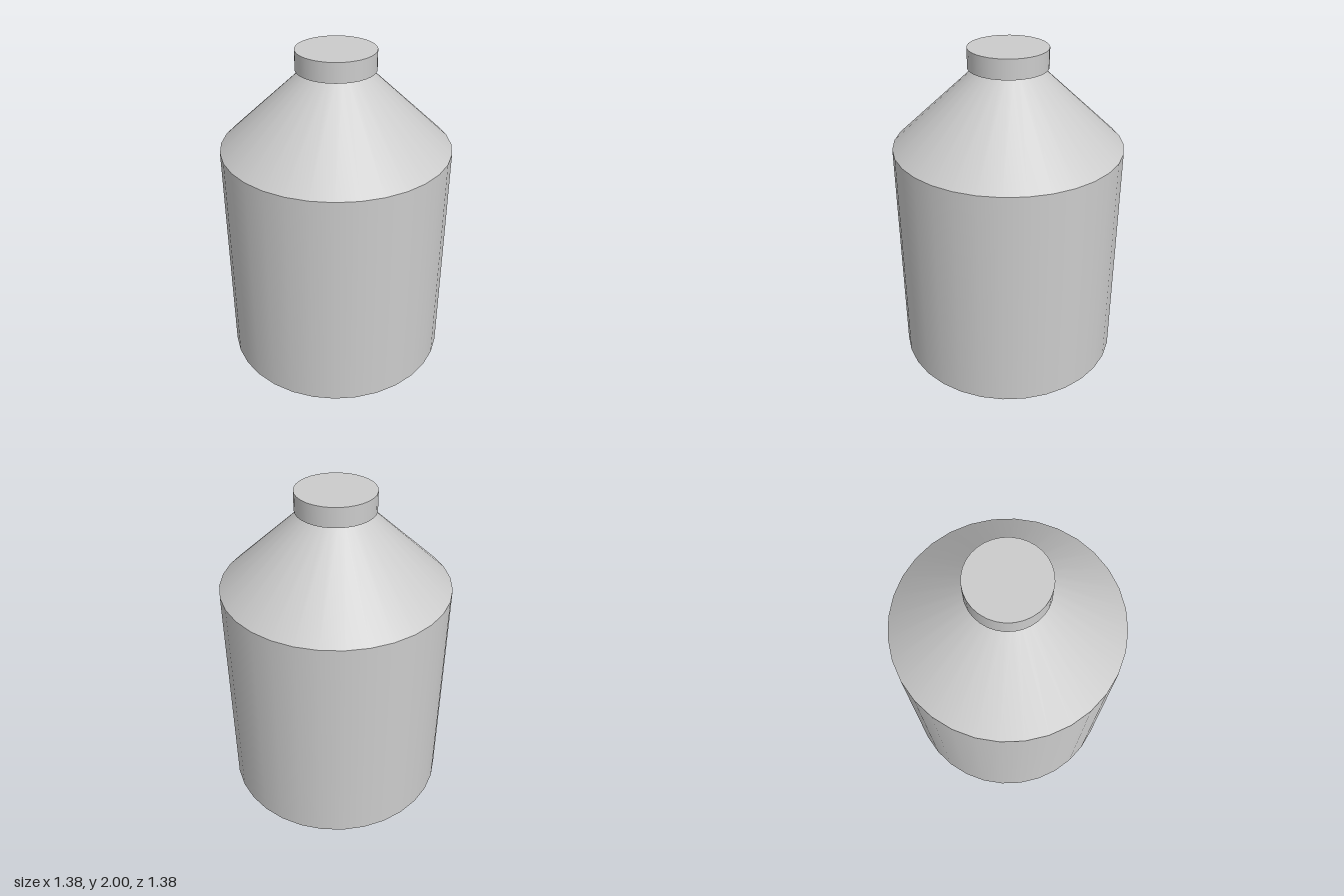
import * as THREE from 'three';

const SIDES = 32;

export function createModel() {
  const bottle = new THREE.Group();
  bottle.name = 'bottle';
  const material = new THREE.MeshStandardMaterial({ color: 0xcccccc });

  // Round section standing between two heights
  function section(name, bottomRadius, topRadius, y0, y1, open = false) {
    const geometry = new THREE.CylinderGeometry(topRadius, bottomRadius, y1 - y0, SIDES, 1, open);
    const mesh = new THREE.Mesh(geometry, material);
    mesh.name = name;
    mesh.position.y = (y0 + y1) / 2;
    bottle.add(mesh);
  }

  // Straight body, open at the top where the shoulder closes it
  section('body', 0.69, 0.69, 0, 1.412, true);
  const base = new THREE.Mesh(new THREE.CircleGeometry(0.69, SIDES), material);
  base.name = 'base';
  base.rotation.x = Math.PI / 2;
  bottle.add(base);

  // Conical shoulder narrowing to the neck
  section('shoulder', 0.69, 0.19, 1.412, 1.882, true);

  // Overhanging cap
  section('cap', 0.235, 0.235, 1.882, 2);

  return bottle;
}
